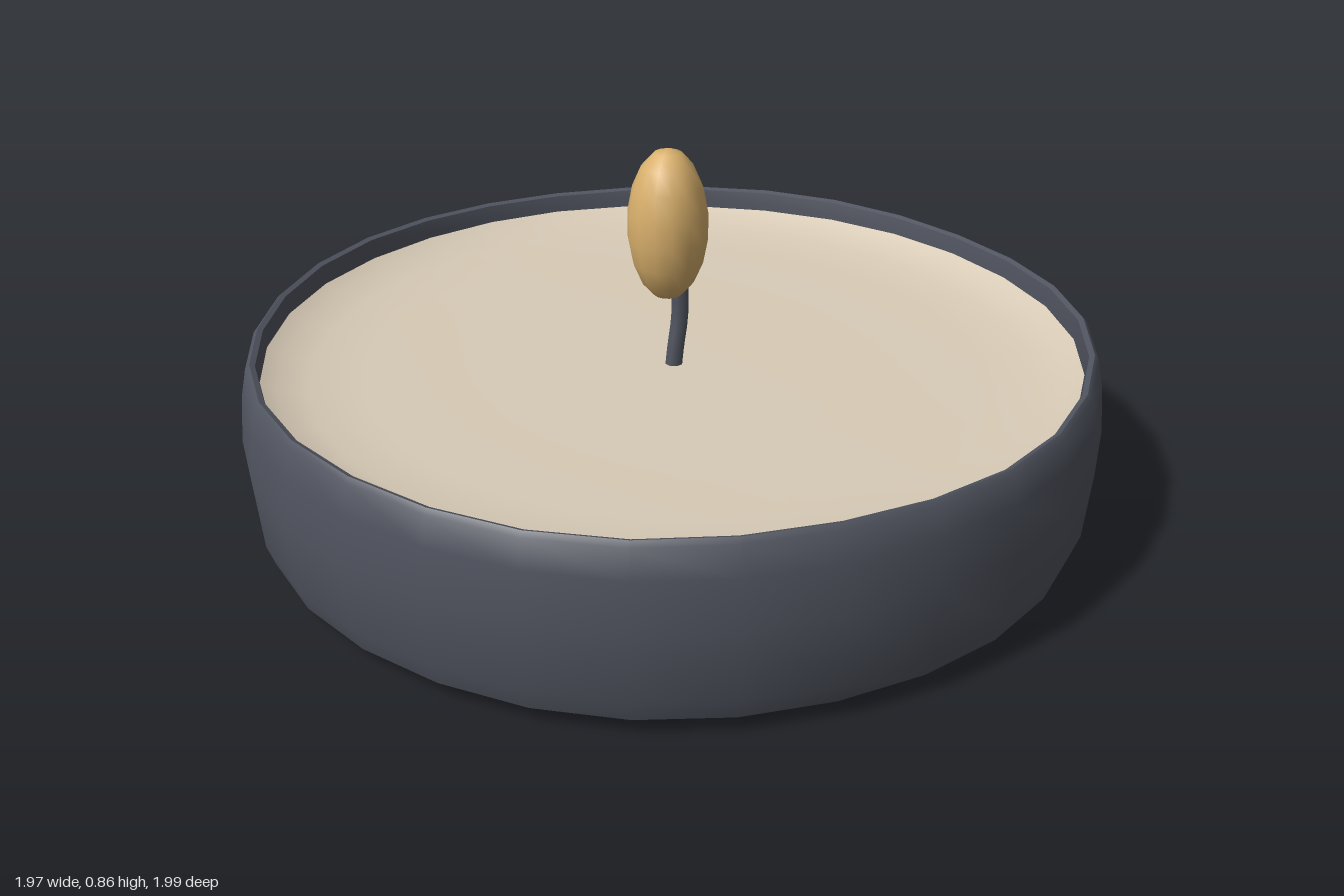
import * as THREE from 'three';
import { toCreasedNormals } from 'three/addons/utils/BufferGeometryUtils.js';

const SEGMENTS = 30;

const mat = (name, color) => {
  const m = new THREE.MeshStandardMaterial({ color });
  m.name = name;
  return m;
};

const mesh = (name, geometry, material) => {
  const m = new THREE.Mesh(geometry, material);
  m.name = name;
  return m;
};

const lathe = (points) =>
  new THREE.LatheGeometry(points.map(([r, y]) => new THREE.Vector2(r, y)), SEGMENTS);

// Gentle hand-made unevenness; whole-number waves keep the seam closed
function wobble(geometry) {
  const p = geometry.attributes.position;
  for (let i = 0; i < p.count; i++) {
    const x = p.getX(i), y = p.getY(i), z = p.getZ(i);
    const a = Math.atan2(z, x);
    const s = 1 + 0.003 * Math.sin(3 * a + 1) + 0.002 * Math.sin(7 * a);
    const lift = y > 0.4 ? 0.003 * Math.sin(5 * a) : 0;
    p.setXYZ(i, x * s * 0.993, y + lift, z * s);
  }
  return geometry;
}

export function createModel() {
  const group = new THREE.Group();
  group.name = 'candle';

  const slate = mat('slate', 0x50545f);
  const cream = mat('cream wax', 0xd8cbb7);
  const gold = mat('golden flame', 0xd9b06c);

  // Shallow cup: base, bulging wall, thin rounded rim and inner wall
  const cup = wobble(lathe([
    [0, 0], [0.5, 0.006], [0.92, 0.02], [0.962, 0.04], [0.98, 0.09],
    [0.995, 0.25], [0.985, 0.36], [0.972, 0.425], [0.962, 0.435],
    [0.95, 0.43], [0.945, 0.4], [0.943, 0.3],
  ]));
  group.add(mesh('cup', toCreasedNormals(cup, 0.7), slate));

  // Wax pool, curling up where it meets the wall
  const wax = wobble(lathe([
    [0.947, 0.385], [0.91, 0.365], [0.84, 0.348], [0.72, 0.338], [0.4, 0.335], [0, 0.335],
  ]));
  wax.computeVertexNormals();
  group.add(mesh('wax', wax, cream));

  // Slightly bent wick
  const path = new THREE.CatmullRomCurve3([
    new THREE.Vector3(0.004, 0.31, 0.004),
    new THREE.Vector3(0.012, 0.38, 0.002),
    new THREE.Vector3(0.022, 0.45, 0),
    new THREE.Vector3(0.022, 0.55, 0),
  ]);
  group.add(mesh('wick', new THREE.TubeGeometry(path, 8, 0.021, 8), slate));

  // Egg-shaped flame
  const flame = mesh('flame', new THREE.SphereGeometry(1, 14, 9), gold);
  flame.scale.set(0.093, 0.18, 0.093);
  flame.position.set(-0.007, 0.68, 0);
  group.add(flame);

  return group;
}
